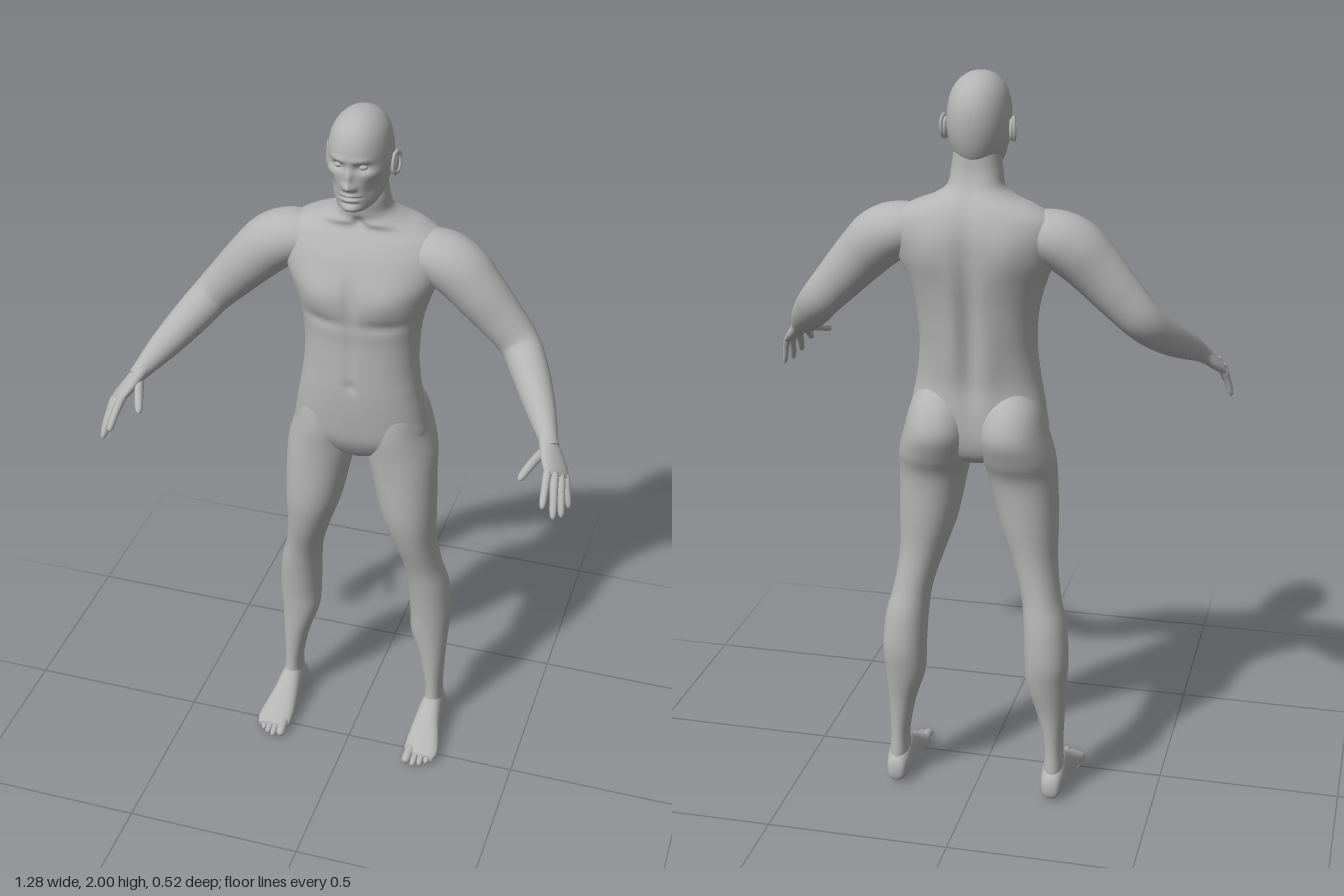
import * as THREE from 'three';

const skin = new THREE.MeshStandardMaterial({ color: 0xb4b4b4 });
skin.name = 'plain grey';

// Catmull-Rom through rows of numbers, column by column
function sample(rows, t) {
  const f = Math.min(Math.max(t, 0), 1) * (rows.length - 1);
  const i = Math.min(Math.floor(f), rows.length - 2), u = f - i;
  const at = k => rows[Math.min(Math.max(k, 0), rows.length - 1)];
  const [a, b, c, d] = [at(i - 1), at(i), at(i + 1), at(i + 2)];
  return b.map((_, k) => 0.5 * (2 * b[k] + (c[k] - a[k]) * u
    + (2 * a[k] - 5 * b[k] + 4 * c[k] - d[k]) * u * u
    + (3 * b[k] - a[k] - 3 * c[k] + d[k]) * u * u * u));
}

// Closed smooth skin over rings; ring(t, cos, sin) gives a point
function loft(rings, segs, ring, side = 1) {
  const pos = [], idx = [];
  for (let j = 0; j <= rings; j++) for (let i = 0; i < segs; i++) {
    const a = i / segs * Math.PI * 2;
    const p = ring(j / rings, Math.cos(a), Math.sin(a));
    pos.push(p.x * side, p.y, p.z);
  }
  for (let j = 0; j < rings; j++) for (let i = 0; i < segs; i++) {
    const a = j * segs + i, b = j * segs + (i + 1) % segs;
    idx.push(a, b, a + segs, b, b + segs, a + segs);
  }
  for (const j of [0, rings]) {
    const mid = [0, 0, 0], centre = pos.length / 3;
    for (let i = 0; i < segs; i++) for (let k = 0; k < 3; k++) mid[k] += pos[(j * segs + i) * 3 + k] / segs;
    pos.push(...mid);
    for (let i = 0; i < segs; i++) {
      const a = j * segs + i, b = j * segs + (i + 1) % segs;
      j ? idx.push(a, b, centre) : idx.push(b, a, centre);
    }
  }
  // turn the faces outward if the enclosed volume is negative
  const v = k => new THREE.Vector3().fromArray(pos, idx[k] * 3);
  let volume = 0;
  for (let k = 0; k < idx.length; k += 3) volume += v(k).dot(v(k + 1).cross(v(k + 2)));
  if (volume < 0) idx.reverse();
  const g = new THREE.BufferGeometry();
  g.setAttribute('position', new THREE.Float32BufferAttribute(pos, 3));
  g.setIndex(idx);
  g.computeVertexNormals();
  return g;
}

const curve = (v, n) => Math.sign(v) * Math.abs(v) ** (2 / n);

// Soft mirrored bumps: [x, y, z, rx, ry, rz, dx, dz]
function sculpt(p, bumps) {
  const q = p.clone();
  for (const [x, y, z, rx, ry, rz, dx, dz] of bumps) {
    const w = Math.exp(-(((Math.abs(p.x) - x) / rx) ** 2) - ((p.y - y) / ry) ** 2 - ((p.z - z) / rz) ** 2);
    q.x += Math.sign(p.x) * dx * w;
    q.z += dz * w;
  }
  return q;
}

// Level rings: rows of [y, centre x, half width, front z, back z]
const upright = (rows, n, bumps = []) => (t, c, s) => {
  const [y, x, w, f, b] = sample(rows, t);
  return sculpt(new THREE.Vector3(x + w * curve(c, n), y, (f + b) / 2 + (f - b) / 2 * curve(s, n)), bumps);
};

// Rings across a path: rows of [x, y, z, radius along ref, radius across]
const limb = (rows, ref) => (t, c, s) => {
  const p = sample(rows, t), a = sample(rows, t - 0.01), b = sample(rows, t + 0.01);
  const dir = new THREE.Vector3(b[0] - a[0], b[1] - a[1], b[2] - a[2]).normalize();
  const u = ref.clone().addScaledVector(dir, -ref.dot(dir)).normalize();
  const v = dir.clone().cross(u);
  return new THREE.Vector3(p[0], p[1], p[2]).addScaledVector(u, p[3] * c).addScaledVector(v, p[4] * s);
};

// Round-tipped finger or toe from base to tip, arched by lift
function digit(base, tip, r, lift) {
  const row = (t, k) => [0, 1, 2].map(i => base[i] + (tip[i] - base[i]) * t + (i === 1 ? lift * 4 * t * (1 - t) : 0)).concat(r * k, r * k);
  return limb([row(-0.15, 0.9), row(0.1, 1.05), row(0.35, 0.95), row(0.6, 0.92), row(0.82, 0.85), row(0.95, 0.6), row(1, 0.12)],
    new THREE.Vector3(1, 0, 0.3));
}

const torsoRows = [
  [1.81, 0, 0.058, -0.08, -0.188], [1.76, 0, 0.066, -0.072, -0.192], [1.72, 0, 0.074, -0.078, -0.206],
  [1.695, 0, 0.108, -0.084, -0.224], [1.675, 0, 0.16, -0.082, -0.238], [1.645, 0, 0.205, -0.062, -0.252],
  [1.6, 0, 0.218, -0.036, -0.262], [1.54, 0, 0.208, -0.014, -0.262], [1.48, 0, 0.184, -0.006, -0.256],
  [1.42, 0, 0.166, -0.008, -0.247], [1.36, 0, 0.157, -0.012, -0.238], [1.28, 0, 0.156, -0.01, -0.226],
  [1.2, 0, 0.166, -0.009, -0.218], [1.12, 0, 0.181, -0.014, -0.224], [1.05, 0, 0.184, -0.024, -0.222],
  [1.0, 0, 0.12, -0.05, -0.205], [0.975, 0, 0.04, -0.075, -0.17]];
const torsoBumps = [
  [0.09, 1.5, 0, 0.07, 0.05, 0.08, 0, 0.012],        // chest
  [0.09, 1.425, 0, 0.07, 0.018, 0.08, 0, -0.007],    // fold under chest
  [0, 1.5, 0, 0.014, 0.07, 0.08, 0, -0.008],         // breastbone
  [0, 1.32, 0, 0.012, 0.1, 0.08, 0, -0.004],         // belly line
  [0, 1.235, 0, 0.011, 0.013, 0.08, 0, -0.009],      // navel
  [0, 1.4, -0.24, 0.024, 0.24, 0.08, 0, 0.02],       // spine
  [0.1, 1.56, -0.25, 0.05, 0.07, 0.06, 0, -0.008],   // shoulder blades
  [0.05, 1.26, -0.23, 0.03, 0.1, 0.06, 0, -0.006],   // lower back
  [0.06, 1.69, -0.08, 0.05, 0.012, 0.05, 0, 0.008],  // collar bones
  [0, 1.69, -0.08, 0.014, 0.014, 0.04, 0, -0.012]];  // throat notch

const headRows = [
  [2.0, 0, 0.006, -0.095, -0.11], [1.995, 0, 0.028, -0.062, -0.142], [1.98, 0, 0.05, -0.03, -0.174],
  [1.955, 0, 0.068, -0.009, -0.196], [1.92, 0, 0.078, 0.003, -0.21], [1.88, 0, 0.081, 0.003, -0.213],
  [1.84, 0, 0.078, 0.001, -0.207], [1.805, 0, 0.069, -0.001, -0.195], [1.78, 0, 0.059, -0.002, -0.18],
  [1.762, 0, 0.047, -0.005, -0.165], [1.752, 0, 0.03, -0.02, -0.14]];
const headBumps = [
  [0, 1.833, 0, 0.012, 0.011, 0.06, 0, 0.02], [0, 1.856, 0, 0.009, 0.02, 0.06, 0, 0.012],   // nose
  [0.013, 1.829, 0, 0.007, 0.008, 0.06, 0, 0.007],                                           // nostrils
  [0.031, 1.882, 0, 0.017, 0.011, 0.06, 0, -0.013], [0.028, 1.902, 0, 0.025, 0.008, 0.06, 0, 0.005], // sockets, brows
  [0, 1.806, 0, 0.02, 0.005, 0.06, 0, 0.007], [0, 1.793, 0, 0.018, 0.005, 0.06, 0, 0.006],  // lips
  [0, 1.8, 0, 0.026, 0.0025, 0.06, 0, -0.006], [0, 1.783, 0, 0.02, 0.005, 0.06, 0, -0.004], // mouth line
  [0, 1.768, 0, 0.022, 0.009, 0.06, 0, 0.005],                                               // chin
  [0.055, 1.862, -0.03, 0.02, 0.014, 0.04, 0.003, 0.004], [0.055, 1.82, -0.03, 0.02, 0.025, 0.05, -0.006, -0.003]]; // cheeks

const legRows = [
  [1.2, 0.098, 0.04, -0.06, -0.18], [1.14, 0.097, 0.076, -0.032, -0.238], [1.07, 0.1, 0.091, -0.025, -0.265],
  [1.0, 0.112, 0.098, -0.029, -0.245], [0.93, 0.123, 0.092, -0.03, -0.215], [0.8, 0.139, 0.079, -0.031, -0.205],
  [0.7, 0.156, 0.062, -0.049, -0.201], [0.6, 0.178, 0.053, -0.078, -0.21], [0.52, 0.193, 0.058, -0.092, -0.225],
  [0.42, 0.2, 0.06, -0.104, -0.231], [0.34, 0.2, 0.055, -0.108, -0.219], [0.25, 0.212, 0.038, -0.11, -0.202],
  [0.15, 0.22, 0.026, -0.11, -0.195], [0.08, 0.222, 0.027, -0.105, -0.2], [0.03, 0.222, 0.024, -0.11, -0.2]];
const armRows = [
  [0.1, 1.6, -0.145, 0.06, 0.05], [0.19, 1.597, -0.147, 0.08, 0.07], [0.252, 1.57, -0.142, 0.081, 0.078],
  [0.31, 1.515, -0.135, 0.07, 0.072], [0.37, 1.45, -0.132, 0.058, 0.063], [0.425, 1.39, -0.123, 0.05, 0.055],
  [0.46, 1.35, -0.083, 0.05, 0.052], [0.495, 1.312, -0.028, 0.046, 0.046], [0.528, 1.277, 0.03, 0.036, 0.037],
  [0.555, 1.247, 0.08, 0.027, 0.026], [0.568, 1.232, 0.102, 0.026, 0.022]];
const palmRows = [
  [0.55, 1.252, 0.072, 0.025, 0.021], [0.563, 1.237, 0.097, 0.03, 0.02], [0.58, 1.215, 0.125, 0.039, 0.018],
  [0.595, 1.197, 0.15, 0.041, 0.015], [0.603, 1.188, 0.164, 0.034, 0.009]];
// Foot rows: [z, centre x, half width, top y, bottom y]
const footRows = [
  [-0.216, 0.222, 0.005, 0.046, 0.03], [-0.207, 0.222, 0.024, 0.072, 0.008], [-0.17, 0.222, 0.033, 0.1, 0],
  [-0.12, 0.222, 0.034, 0.114, 0.002], [-0.07, 0.223, 0.039, 0.09, 0.006], [-0.02, 0.227, 0.047, 0.06, 0.003],
  [0.02, 0.23, 0.05, 0.04, 0.001], [0.045, 0.229, 0.042, 0.027, 0.005]];
const fingers = [
  ['indexFinger', [0.578, 1.205, 0.176], [0.585, 1.15, 0.257], 0.0105],
  ['middleFinger', [0.596, 1.195, 0.174], [0.612, 1.115, 0.245], 0.011],
  ['ringFinger', [0.611, 1.182, 0.16], [0.627, 1.1, 0.21], 0.0105],
  ['littleFinger', [0.62, 1.175, 0.14], [0.637, 1.1, 0.165], 0.009],
  ['thumb', [0.553, 1.224, 0.115], [0.514, 1.195, 0.215], 0.0125]];
const toes = [[0.195, 0.075, 0.0145], [0.218, 0.078, 0.0105], [0.237, 0.07, 0.01], [0.254, 0.057, 0.0095], [0.269, 0.041, 0.009]];

export function createModel() {
  const body = new THREE.Group();
  body.name = 'humanFigure';
  const add = (name, geometry) => {
    const m = new THREE.Mesh(geometry, skin);
    m.name = name;
    body.add(m);
  };

  add('torsoAndNeck', loft(120, 96, upright(torsoRows, 2.3, torsoBumps)));
  add('head', loft(100, 128, upright(headRows, 2.1, headBumps)));

  for (const [side, label] of [[1, 'left'], [-1, 'right']]) {
    // limbs
    add(label + 'Leg', loft(80, 48, upright(legRows, 2.1), side));
    add(label + 'Arm', loft(70, 40, limb(armRows, new THREE.Vector3(0, 0, 1)), side));
    add(label + 'Palm', loft(24, 32, limb(palmRows, new THREE.Vector3(0.047, -0.033, -0.045)), side));
    for (const [name, base, tip, r] of fingers) add(label + '_' + name, loft(24, 16, digit(base, tip, r, 0.006), side));

    // feet
    add(label + 'Foot', loft(40, 40, (t, c, s) => {
      const [z, x, w, top, low] = sample(footRows, t);
      return new THREE.Vector3(x + w * curve(c, 2.3), (top + low) / 2 + (top - low) / 2 * curve(s, 2.3), z);
    }, side));
    toes.forEach(([x, z, r], i) => add(label + 'Toe' + (i + 1),
      loft(20, 16, digit([0.227 + (x - 0.227) * 0.85, r + 0.007, z - 0.055], [x, r * 0.8, z], r, 0.003), side)));

    // ears and eyes
    const ear = new THREE.SphereGeometry(1, 20, 14).scale(0.009, 0.029, 0.017).rotateY(side * -0.35).rotateX(-0.15);
    add(label + 'Ear', ear.translate(side * 0.084, 1.857, -0.112));
    const rim = new THREE.TorusGeometry(0.017, 0.0045, 8, 24).scale(0.95, 1.6, 1).rotateY(Math.PI / 2 - side * 0.35).rotateX(-0.15);
    add(label + 'EarRim', rim.translate(side * 0.09, 1.86, -0.113));
    add(label + 'Eye', new THREE.SphereGeometry(0.0115, 16, 12).scale(1.1, 0.75, 1).translate(side * 0.031, 1.882, -0.0195));
  }
  return body;
}
